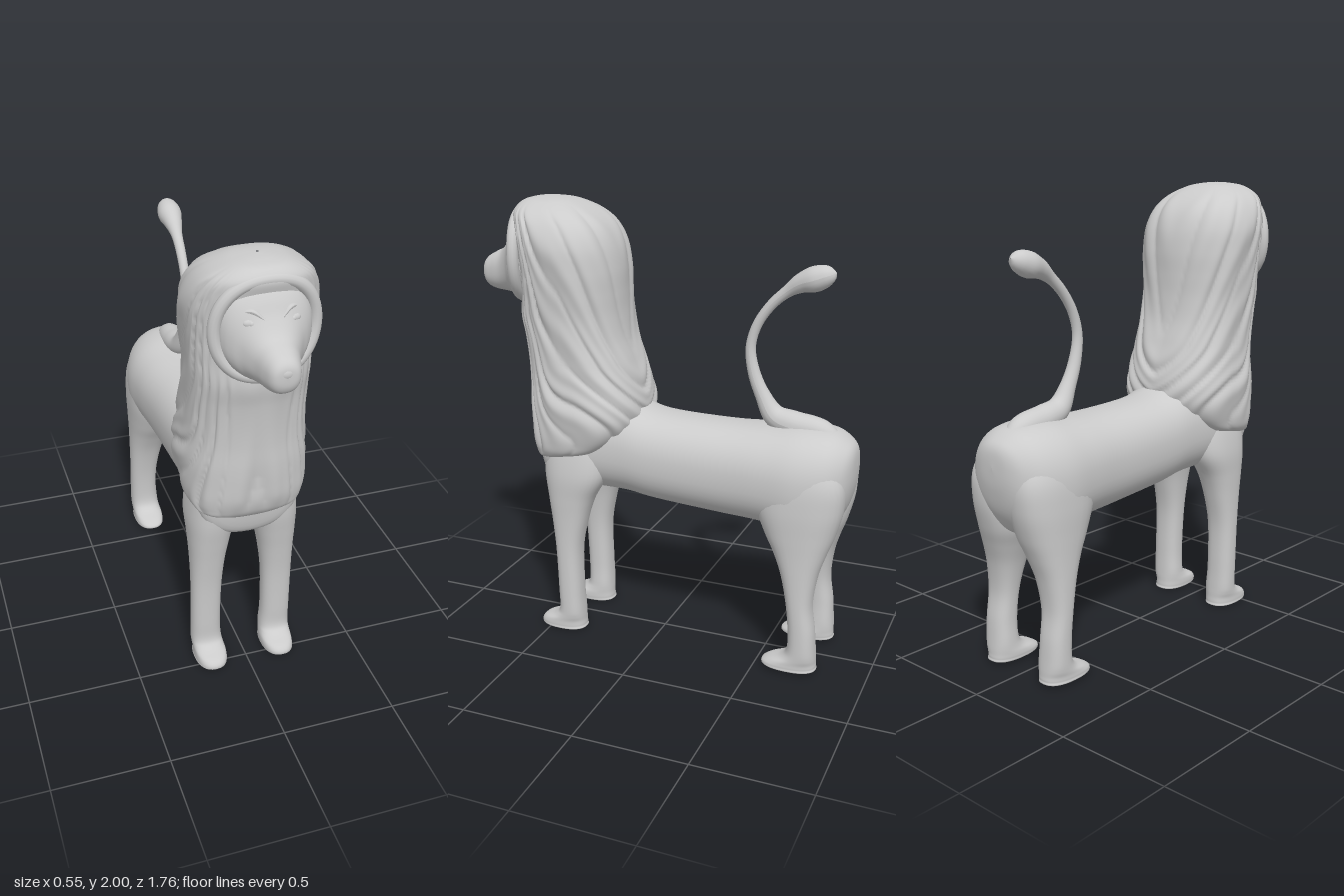
import * as THREE from 'three';

const mat = new THREE.MeshStandardMaterial({ color: 0xcccccc, roughness: 0.8 });

// Smooth interpolation through rows of numbers, k in 0..1
function sample(rows, k) {
  const f = k * (rows.length - 1);
  const i = Math.min(Math.floor(f), rows.length - 2), s = f - i;
  const at = (n) => rows[Math.max(0, Math.min(rows.length - 1, n))];
  return rows[i].map((b, c) => {
    const a = at(i - 1)[c], d = at(i + 1)[c], e = at(i + 2)[c];
    const m0 = (d - a) / 2, m1 = (e - b) / 2, s2 = s * s, s3 = s2 * s;
    return (2 * s3 - 3 * s2 + 1) * b + (s3 - 2 * s2 + s) * m0 + (3 * s2 - 2 * s3) * d + (s3 - s2) * m1;
  });
}

// Skin of superellipse rings; rows are [t, uMin, uMax, vMin, vMax], t rising.
// Axis 'z': u = x, v = y. Axis 'y': u = z, v = x.
function loft(name, rows, { axis, power = 2.2, steps = 6, sides = 48, bump = () => 0 }) {
  const n = (rows.length - 1) * steps, pos = [], index = [];
  const soft = (x) => Math.sign(x) * Math.abs(x) ** (2 / power);
  for (let i = 0; i <= n; i++) {
    const [t, u0, u1, v0, v1] = sample(rows, i / n);
    for (let j = 0; j < sides; j++) {
      const a = (j / sides) * Math.PI * 2;
      const r = 1 + bump(a > Math.PI ? a - Math.PI * 2 : a, t);
      const u = (u0 + u1) / 2 + soft(Math.cos(a)) * r * (u1 - u0) / 2;
      const v = (v0 + v1) / 2 + soft(Math.sin(a)) * r * (v1 - v0) / 2;
      pos.push(...(axis === 'z' ? [u, v, t] : [v, t, u]));
      if (i < n) {
        const p = i * sides + j, q = i * sides + (j + 1) % sides;
        index.push(p, q, p + sides, q, q + sides, p + sides);
      }
    }
  }
  const g = new THREE.BufferGeometry();
  g.setAttribute('position', new THREE.Float32BufferAttribute(pos, 3));
  g.setIndex(index);
  g.computeVertexNormals();
  return named(name, g);
}

function named(name, geometry) {
  const m = new THREE.Mesh(geometry, mat);
  m.name = name;
  return m;
}

// Tube whose radius follows the fourth number of each [x, y, z, r] row
function taperTube(name, rows, segs = 80, sides = 20) {
  const curve = new THREE.CatmullRomCurve3(rows.map((r) => new THREE.Vector3(r[0], r[1], r[2])));
  const g = new THREE.TubeGeometry(curve, segs, 1, sides);
  const p = g.attributes.position, v = new THREE.Vector3();
  for (let i = 0; i <= segs; i++) {
    const k = curve.getUtoTmapping(i / segs), c = curve.getPoint(k);
    const r = Math.max(0.001, sample(rows, k)[3]);
    for (let j = 0; j <= sides; j++) {
      const n = i * (sides + 1) + j;
      v.fromBufferAttribute(p, n).sub(c).multiplyScalar(r).add(c);
      p.setXYZ(n, v.x, v.y, v.z);
    }
  }
  g.computeVertexNormals();
  return named(name, g);
}

function ball(name, x, y, z, sx, sy, sz) {
  const m = named(name, new THREE.SphereGeometry(1, 24, 16));
  m.position.set(x, y, z);
  m.scale.set(sx, sy, sz);
  return m;
}

export function createModel() {
  const model = new THREE.Group();
  model.name = 'lion';

  // Body, rump to chest
  const body = [
    [-0.88, 0.92, 0.93, 0], [-0.872, 0.83, 1.0, 0.08], [-0.84, 0.72, 1.04, 0.15], [-0.77, 0.63, 1.075, 0.207],
    [-0.65, 0.6, 1.085, 0.235], [-0.5, 0.635, 1.07, 0.225], [-0.3, 0.645, 1.06, 0.208], [0, 0.665, 1.07, 0.2],
    [0.15, 0.685, 1.11, 0.202], [0.32, 0.69, 1.13, 0.215], [0.46, 0.7, 1.12, 0.225], [0.53, 0.74, 1.08, 0.19],
    [0.56, 0.9, 0.91, 0],
  ].map(([z, lo, hi, w]) => [z, -w, w, lo, hi]);
  model.add(loft('body', body, { axis: 'z', power: 2.3 }));

  // Legs: [y, back z, front z, inner x, outer x]
  const frontLeg = [
    [0, 0.44, 0.45, 0.15, 0.16], [0, 0.345, 0.545, 0.095, 0.225], [0.015, 0.34, 0.562, 0.088, 0.23],
    [0.04, 0.342, 0.545, 0.088, 0.23], [0.065, 0.343, 0.49, 0.092, 0.231], [0.1, 0.345, 0.462, 0.095, 0.232],
    [0.2, 0.35, 0.463, 0.1, 0.232], [0.4, 0.352, 0.472, 0.095, 0.232], [0.55, 0.325, 0.49, 0.08, 0.235],
    [0.66, 0.29, 0.508, 0.06, 0.24], [0.78, 0.23, 0.527, 0.035, 0.243], [0.92, 0.24, 0.53, 0.03, 0.22],
    [1.02, 0.3, 0.5, 0.08, 0.18],
  ];
  const hindLeg = [
    [0.01, -0.67, -0.66, 0.15, 0.16], [0.01, -0.77, -0.55, 0.095, 0.225], [0.025, -0.777, -0.532, 0.088, 0.23],
    [0.045, -0.776, -0.56, 0.088, 0.23], [0.07, -0.775, -0.62, 0.092, 0.231], [0.11, -0.772, -0.648, 0.095, 0.232],
    [0.2, -0.765, -0.65, 0.1, 0.232], [0.32, -0.75, -0.637, 0.095, 0.232], [0.45, -0.765, -0.607, 0.07, 0.232],
    [0.55, -0.795, -0.565, 0.035, 0.232], [0.64, -0.827, -0.515, 0, 0.234], [0.76, -0.855, -0.47, -0.01, 0.236],
    [0.88, -0.85, -0.48, 0.01, 0.225], [1.0, -0.78, -0.56, 0.06, 0.18],
  ];
  for (const [name, rows] of [['FrontLeg', frontLeg], ['HindLeg', hindLeg]]) {
    model.add(loft('left' + name, rows, { axis: 'y', power: 2.4, sides: 32 }));
    const mirrored = rows.map(([y, b, f, i, o]) => [y, b, f, -o, -i]);
    model.add(loft('right' + name, mirrored, { axis: 'y', power: 2.4, sides: 32 }));
  }

  // Mane: [y, back z, front z, half width], with carved strands sweeping back
  const mane = [
    [0.815, 0.5, 0.51, 0.005], [0.825, 0.46, 0.55, 0.11], [0.85, 0.4, 0.575, 0.205], [0.885, 0.25, 0.592, 0.245],
    [0.94, 0.16, 0.605, 0.258], [1.02, 0.095, 0.61, 0.265], [1.1, 0.085, 0.612, 0.265], [1.2, 0.108, 0.612, 0.252],
    [1.3, 0.14, 0.618, 0.245], [1.4, 0.172, 0.63, 0.243], [1.5, 0.188, 0.65, 0.243], [1.6, 0.195, 0.648, 0.25],
    [1.7, 0.203, 0.65, 0.258], [1.8, 0.225, 0.66, 0.26], [1.88, 0.265, 0.675, 0.238], [1.94, 0.33, 0.685, 0.195],
    [1.98, 0.41, 0.655, 0.125], [1.995, 0.47, 0.6, 0.06], [2.0, 0.53, 0.54, 0.005],
  ].map(([y, b, f, w]) => [y, b, f, -w, w]);
  const step = THREE.MathUtils.smoothstep;
  const strands = (angle, y) => {
    const a = Math.abs(angle);
    const sweep = 1.3 * y * step(a, 0.3, 1.4) * step(y, 0.85, 1.3);
    const phase = 5 * (a + sweep) + 0.7 * Math.sin(6 * y + 2 * a);
    const fine = Math.sin(phase * 3.1 + 2 * Math.sin(4 * y));
    const bare = step(y, 1.45, 1.6) * (1 - step(a, 0.7, 1.0));
    const ends = step(y, 0.82, 0.95) * (1 - step(y, 1.9, 1.99));
    return (0.022 - 0.05 * (1 - Math.abs(Math.sin(phase))) ** 2 + 0.01 * fine) * (1 - bare) * ends;
  };
  model.add(loft('mane', mane, { axis: 'y', power: 2.6, steps: 8, sides: 160, bump: strands }));

  // Face and muzzle
  const head = new THREE.Group();
  head.name = 'head';
  const face = [
    [0.55, 1.55, 1.93, 0.187], [0.635, 1.55, 1.925, 0.184], [0.668, 1.55, 1.91, 0.172], [0.695, 1.55, 1.875, 0.15],
    [0.725, 1.555, 1.82, 0.12], [0.77, 1.56, 1.765, 0.092], [0.82, 1.565, 1.738, 0.075],
    [0.86, 1.58, 1.715, 0.06], [0.878, 1.61, 1.69, 0.04], [0.882, 1.65, 1.655, 0.002],
  ].map(([z, lo, hi, w]) => [z, -w, w, lo, hi]);
  head.add(loft('face', face, { axis: 'z', power: 2.3 }));

  // Raised hair rim framing the face
  const rim = [];
  for (let i = 0; i < 24; i++) {
    const a = (i / 24) * Math.PI * 2, s = Math.sin(a);
    rim.push(new THREE.Vector3(0.2 * Math.sign(Math.cos(a)) * Math.abs(Math.cos(a)) ** 0.85,
      1.745 + 0.198 * s, 0.635 + 0.025 * s * s));
  }
  head.add(named('faceRim', new THREE.TubeGeometry(new THREE.CatmullRomCurve3(rim, true), 96, 0.026, 12, true)));

  // Nose, mouth, eyes and brows
  head.add(ball('nose', 0, 1.665, 0.862, 0.036, 0.028, 0.022));
  head.add(taperTube('mouth', [[-0.06, 1.598, 0.79, 0.004], [-0.035, 1.592, 0.848, 0.006], [0, 1.605, 0.87, 0.006],
    [0.035, 1.592, 0.848, 0.006], [0.06, 1.598, 0.79, 0.004]], 32, 8));
  for (const s of [1, -1]) {
    const side = s > 0 ? 'left' : 'right';
    head.add(ball(side + 'Eye', s * 0.08, 1.8, 0.7, 0.034, 0.02, 0.02));
    head.add(ball(side + 'Pupil', s * 0.08, 1.8, 0.715, 0.011, 0.011, 0.008));
    const lid = named(side + 'Eyelid', new THREE.TorusGeometry(0.038, 0.006, 8, 32));
    lid.position.set(s * 0.08, 1.8, 0.708);
    lid.scale.y = 0.62;
    lid.rotation.set(-0.3, s * 0.4, s * 0.12);
    head.add(lid);
    head.add(taperTube(side + 'Brow', [[s * 0.035, 1.815, 0.722, 0.005], [s * 0.075, 1.842, 0.698, 0.011],
      [s * 0.13, 1.83, 0.672, 0.005]], 24, 10));
  }
  model.add(head);

  // Tail rising from the rump, with a tuft at the end
  model.add(taperTube('tail', [
    [0, 1.0, -0.81, 0.03], [0, 1.055, -0.72, 0.055], [0, 1.075, -0.6, 0.06], [0, 1.105, -0.51, 0.05],
    [0, 1.19, -0.453, 0.034], [0, 1.29, -0.41, 0.027], [0, 1.4, -0.393, 0.022], [0, 1.5, -0.42, 0.021],
    [0, 1.59, -0.48, 0.022], [0, 1.65, -0.545, 0.026], [0, 1.69, -0.605, 0.042], [0, 1.71, -0.66, 0.054],
    [0, 1.728, -0.71, 0.045], [0, 1.737, -0.738, 0.026], [0, 1.742, -0.75, 0.001],
  ], 120, 24));

  return model;
}
